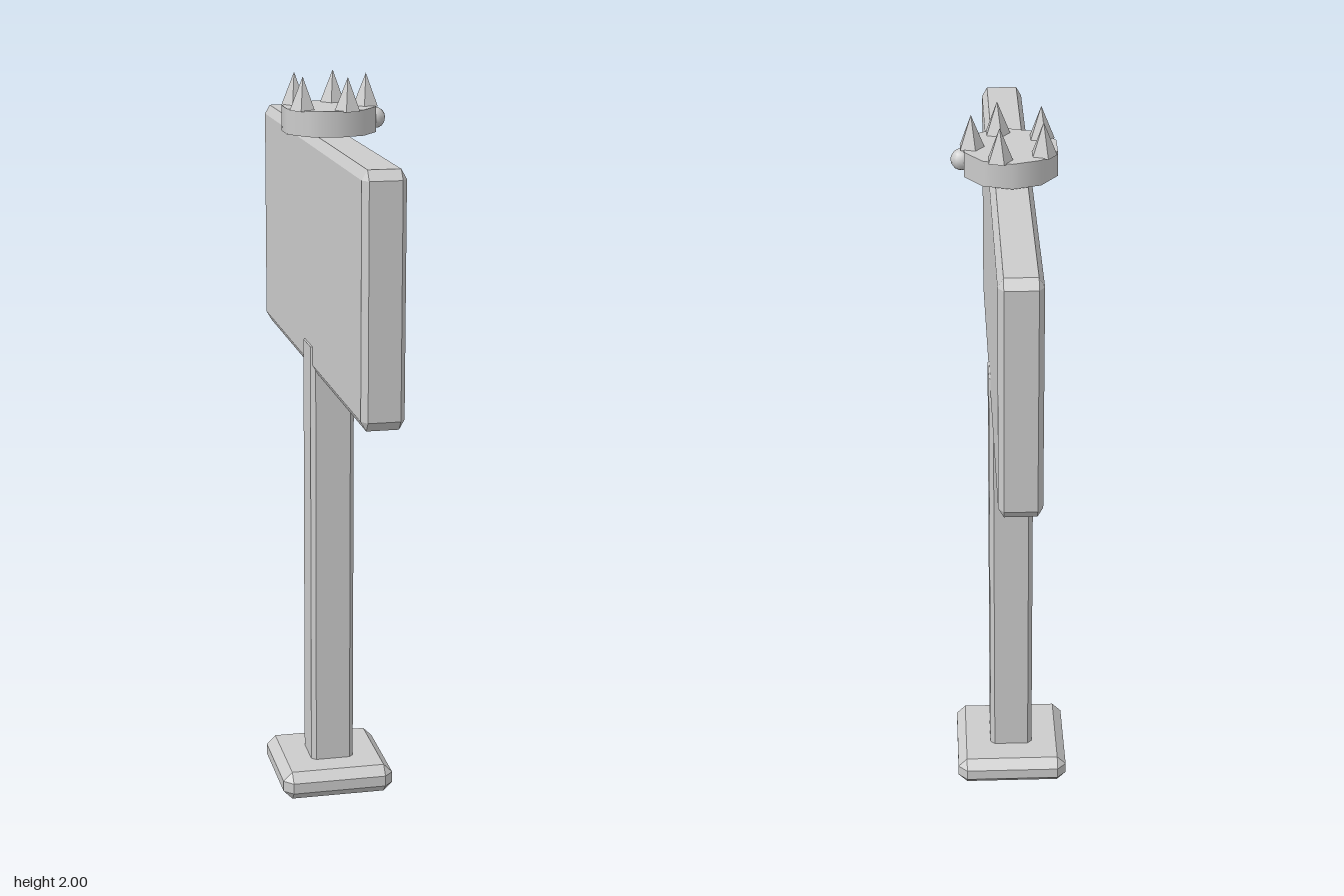
import * as THREE from 'three';
import { ConvexGeometry } from 'three/addons/geometries/ConvexGeometry.js';

// Box with chamfered edges; cx, cy, cz are the chamfer sizes along each axis
function chamferBox(w, h, d, cx, cy, cz) {
  const points = [];
  for (const sx of [-1, 1]) for (const sy of [-1, 1]) for (const sz of [-1, 1]) {
    const X = w / 2, Y = h / 2, Z = d / 2;
    points.push(
      new THREE.Vector3(sx * X, sy * (Y - cy), sz * (Z - cz)),
      new THREE.Vector3(sx * (X - cx), sy * Y, sz * (Z - cz)),
      new THREE.Vector3(sx * (X - cx), sy * (Y - cy), sz * Z)
    );
  }
  return new ConvexGeometry(points);
}

export function createModel() {
  const model = new THREE.Group();
  model.name = 'signpost';
  const grey = new THREE.MeshStandardMaterial({ color: 0xcccccc });
  grey.name = 'light grey';

  const add = (name, geometry, x, y, z, parent = model) => {
    const mesh = new THREE.Mesh(geometry, grey);
    mesh.name = name;
    mesh.position.set(x, y, z);
    parent.add(mesh);
    return mesh;
  };

  // Foot, post and board, the board's broad faces looking along x
  add('base', chamferBox(0.312, 0.08, 0.312, 0.025, 0.025, 0.025), 0, 0.04, 0);
  add('post', chamferBox(0.12, 1.22, 0.12, 0.012, 0.002, 0.012), 0, 0.67, 0);
  add('board', chamferBox(0.11, 0.64, 1.325, 0.014, 0.025, 0.02), 0, 1.523, 0);

  // Crown: ten-sided band, five spikes and a round gem
  const crown = new THREE.Group();
  crown.name = 'crown';
  model.add(crown);
  add('crownBand', new THREE.CylinderGeometry(0.125, 0.125, 0.067, 10), 0, 1.882, 0, crown);
  const spike = new THREE.ConeGeometry(0.035, 0.087, 5).toNonIndexed();
  spike.computeVertexNormals();
  for (let i = 0; i < 5; i++) {
    const a = (i / 5) * Math.PI * 2;
    const mesh = add('crownSpike', spike, 0.1 * Math.cos(a), 1.9565, 0.1 * Math.sin(a), crown);
    mesh.rotation.y = -Math.PI / 2;
  }
  add('crownGem', new THREE.SphereGeometry(0.028, 12, 8), 0.125, 1.882, 0, crown);

  return model;
}
